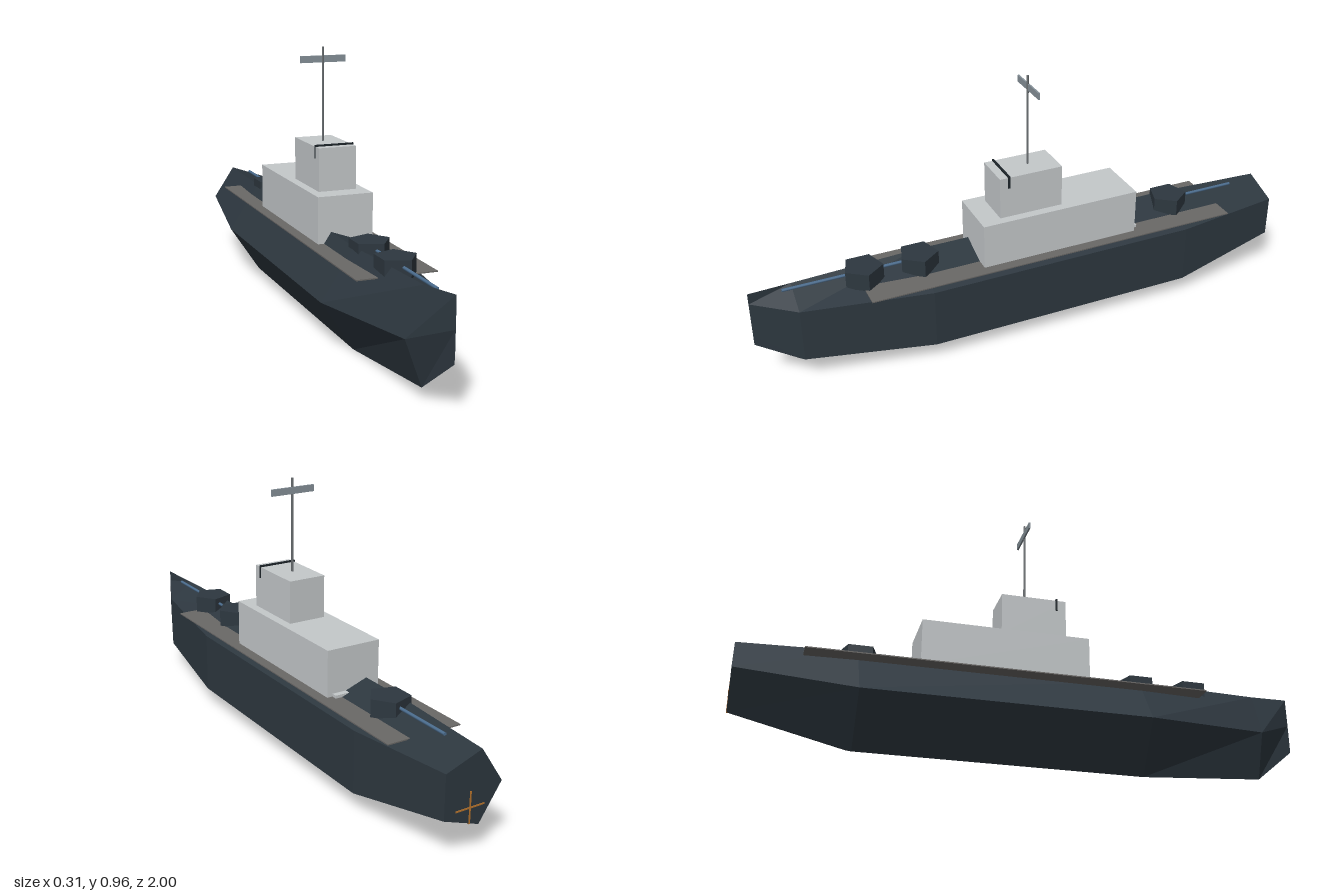
import * as THREE from 'three';

const CX = 0.013; // centre line of the ship

function material(name, color) {
  const m = new THREE.MeshStandardMaterial({ color });
  m.name = name;
  return m;
}

// Faceted copy of a geometry: every face gets its own normal
function faceted(geometry) {
  const g = geometry.index ? geometry.toNonIndexed() : geometry;
  g.computeVertexNormals();
  return g;
}

// Five-sided hull lofted through stations [z, centre y, radius x, radius y]
function hullGeometry() {
  const stations = [
    [-1, 0.2275, 0.118, 0.129],
    [-0.6, 0.18, 0.168, 0.185],
    [0.4, 0.18, 0.168, 0.185],
    [0.85, 0.2, 0.083, 0.166],
    [1, 0.268, 0.001, 0.108],
  ];
  const n = 5;
  const positions = [];
  const index = [];
  for (const [z, cy, rx, ry] of stations) {
    for (let k = 0; k < n; k++) {
      const a = (k / n) * Math.PI * 2;
      positions.push(CX - rx * Math.cos(a), cy + ry * Math.sin(a), z);
    }
  }
  for (let i = 0; i < stations.length - 1; i++) {
    for (let k = 0; k < n; k++) {
      const a = i * n + k;
      const b = i * n + ((k + 1) % n);
      index.push(a, a + n, b + n, a, b + n, b);
    }
  }
  // Stern and bow caps
  const last = (stations.length - 1) * n;
  for (let k = 1; k < n - 1; k++) {
    index.push(0, k, k + 1);
    index.push(last, last + k + 1, last + k);
  }
  const g = new THREE.BufferGeometry();
  g.setAttribute('position', new THREE.Float32BufferAttribute(positions, 3));
  g.setIndex(index);
  return faceted(g);
}

export function createModel() {
  const model = new THREE.Group();
  model.name = 'warship';

  const hullPaint = material('hull slate', 0x2d373f);
  const deckPaint = material('deck grey', 0x6a6866);
  const housePaint = material('superstructure light grey', 0xc4c8ca);
  const windowPaint = material('window dark', 0x1c2429);
  const mastPaint = material('mast grey', 0x6c7174);
  const radarPaint = material('radar grey', 0x87929a);
  const gunPaint = material('gun blue', 0x4d6f91);
  const propellerPaint = material('propeller bronze', 0xb8742c);

  const add = (name, geometry, mat, x, y, z, parent = model) => {
    const mesh = new THREE.Mesh(geometry, mat);
    mesh.name = name;
    mesh.position.set(x, y, z);
    parent.add(mesh);
    return mesh;
  };
  // Box given by its limits on each axis
  const box = (name, mat, [x0, x1], [y0, y1], [z0, z1], parent) =>
    add(name, new THREE.BoxGeometry(x1 - x0, y1 - y0, z1 - z0), mat,
      (x0 + x1) / 2, (y0 + y1) / 2, (z0 + z1) / 2, parent);

  add('hull', hullGeometry(), hullPaint, 0, 0, 0);

  // Flat deck; the hull ridge rises through its middle
  box('deck', deckPaint, [-0.125, 0.152], [0.313, 0.317], [-0.78, 0.62]);

  // Superstructure
  box('deckHouse', housePaint, [-0.087, 0.115], [0.315, 0.481], [-0.395, 0.2]);
  box('bridge', housePaint, [-0.055, 0.083], [0.481, 0.633], [-0.11, 0.125]);
  box('bridgeWindow', windowPaint, [-0.057, 0.086], [0.593, 0.639], [0.088, 0.095]);
  box('aftStep', housePaint, [-0.068, 0.095], [0.315, 0.327], [-0.415, -0.39]);

  // Mast and radar bar
  add('mast', new THREE.CylinderGeometry(0.004, 0.004, 0.333, 6), mastPaint, CX, 0.7985, -0.01);
  box('radarBar', radarPaint, [-0.07, 0.098], [0.91, 0.934], [-0.016, -0.01]);

  // Five-sided turrets, each with one barrel
  for (const [name, z, dir] of [['foreTurret', 0.607, 1], ['secondTurret', 0.407, 1], ['aftTurret', -0.593, -1]]) {
    const turret = new THREE.Group();
    turret.name = name;
    turret.position.set(CX, 0, z);
    model.add(turret);
    const shape = faceted(new THREE.CylinderGeometry(0.071, 0.071, 0.064, 5, 1, false, Math.PI / 2));
    add('turretHousing', shape, hullPaint, 0, 0.346, 0, turret);
    const barrel = add('gunBarrel', new THREE.CylinderGeometry(0.006, 0.006, 0.28, 6), gunPaint,
      0, 0.354, dir * 0.14, turret);
    barrel.rotation.x = Math.PI / 2;
  }

  // Crossed propeller blades on the stern
  const propeller = new THREE.Group();
  propeller.name = 'propeller';
  propeller.position.set(CX, 0.17, -0.999);
  model.add(propeller);
  for (let i = 0; i < 2; i++) {
    const blade = add('propellerBlade', new THREE.BoxGeometry(0.108, 0.005, 0.006), propellerPaint, 0, 0, 0, propeller);
    blade.rotation.z = (i * Math.PI) / 2;
  }

  return model;
}
